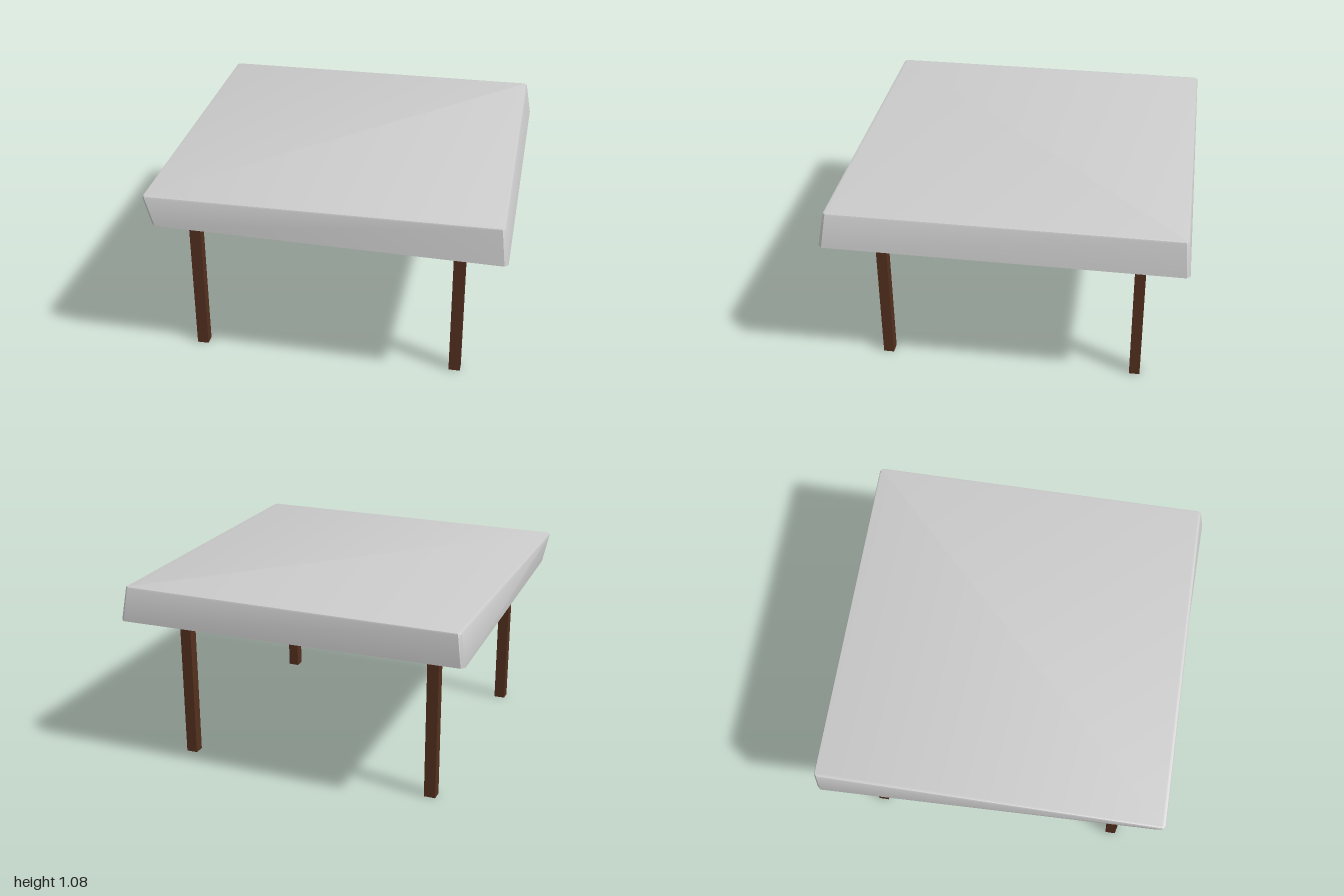
import * as THREE from 'three';
import { toCreasedNormals } from 'three/addons/utils/BufferGeometryUtils.js';

const wood = new THREE.MeshStandardMaterial({ color: 0x54301f });
const linen = new THREE.MeshStandardMaterial({ color: 0xcccccc, side: THREE.DoubleSide });

// Centre of the frame, slightly off the cloth's centre
const CX = -0.02, CZ = -0.01;

function box(name, w, h, d, x, y, z) {
  const mesh = new THREE.Mesh(new THREE.BoxGeometry(w, h, d), wood);
  mesh.name = name;
  mesh.position.set(x, y, z);
  return mesh;
}

// Four corners [x, y, z] become an eight-point ring with clipped corners
function ring(corners, cut, inset = 0, lift = 0) {
  const pts = corners.map(([x, y, z]) => new THREE.Vector3(
    x - Math.sign(x) * inset, y + lift, z - Math.sign(z) * inset));
  return pts.flatMap((p, i) => [pts[(i + 3) % 4], pts[(i + 1) % 4]].map((q) =>
    p.clone().add(q.clone().sub(p).setLength(cut))));
}

function createCloth() {
  // Corner order: front right, front left, back left, back right (model's own)
  const hem = [[-0.94, 0.89, 0.945], [0.995, 0.875, 0.995], [1, 0.875, -1], [-1, 0.89, -0.985]];
  const top = [[-0.975, 1.064, 0.96], [0.968, 1.064, 0.962], [0.968, 1.064, -0.982], [-0.975, 1.064, -0.982]];
  const rings = [ring(hem, 0.02), ring(top, 0.015), ring(top, 0.013, 0.004, 0.008), ring(top, 0.01, 0.012, 0.011)];
  const verts = rings.flat().flatMap((p) => [p.x, p.y, p.z]);
  const index = [];
  for (let r = 0; r < rings.length - 1; r++) {
    for (let i = 0; i < 8; i++) {
      const a = r * 8 + i, b = r * 8 + (i + 1) % 8;
      index.push(a, b, b + 8, a, b + 8, a + 8);
    }
  }
  // Flat top
  const last = (rings.length - 1) * 8;
  for (let i = 1; i < 7; i++) index.push(last, last + i, last + i + 1);

  const geo = new THREE.BufferGeometry();
  geo.setAttribute('position', new THREE.Float32BufferAttribute(verts, 3));
  geo.setIndex(index);
  const mesh = new THREE.Mesh(toCreasedNormals(geo, 0.6), linen);
  mesh.name = 'tablecloth';
  return mesh;
}

export function createModel() {
  const group = new THREE.Group();
  group.name = 'table';
  group.add(createCloth());

  // Board with a shallow rim underneath
  const half = 0.925, rim = 0.04;
  group.add(box('tabletop', half * 2, 0.06, half * 2, CX, 1.03, CZ));
  for (const s of [-1, 1]) {
    const off = s * (half - rim / 2);
    group.add(box('sideRim', rim, 0.06, half * 2, CX + off, 0.97, CZ));
    group.add(box('endRim', (half - rim) * 2, 0.06, rim, CX, 0.97, CZ + off));
  }

  // Four square legs
  for (const sx of [-1, 1]) {
    for (const sz of [-1, 1]) {
      group.add(box('leg', 0.065, 1.0, 0.06, CX + sx * 0.745, 0.5, CZ + sz * 0.725));
    }
  }
  return group;
}
